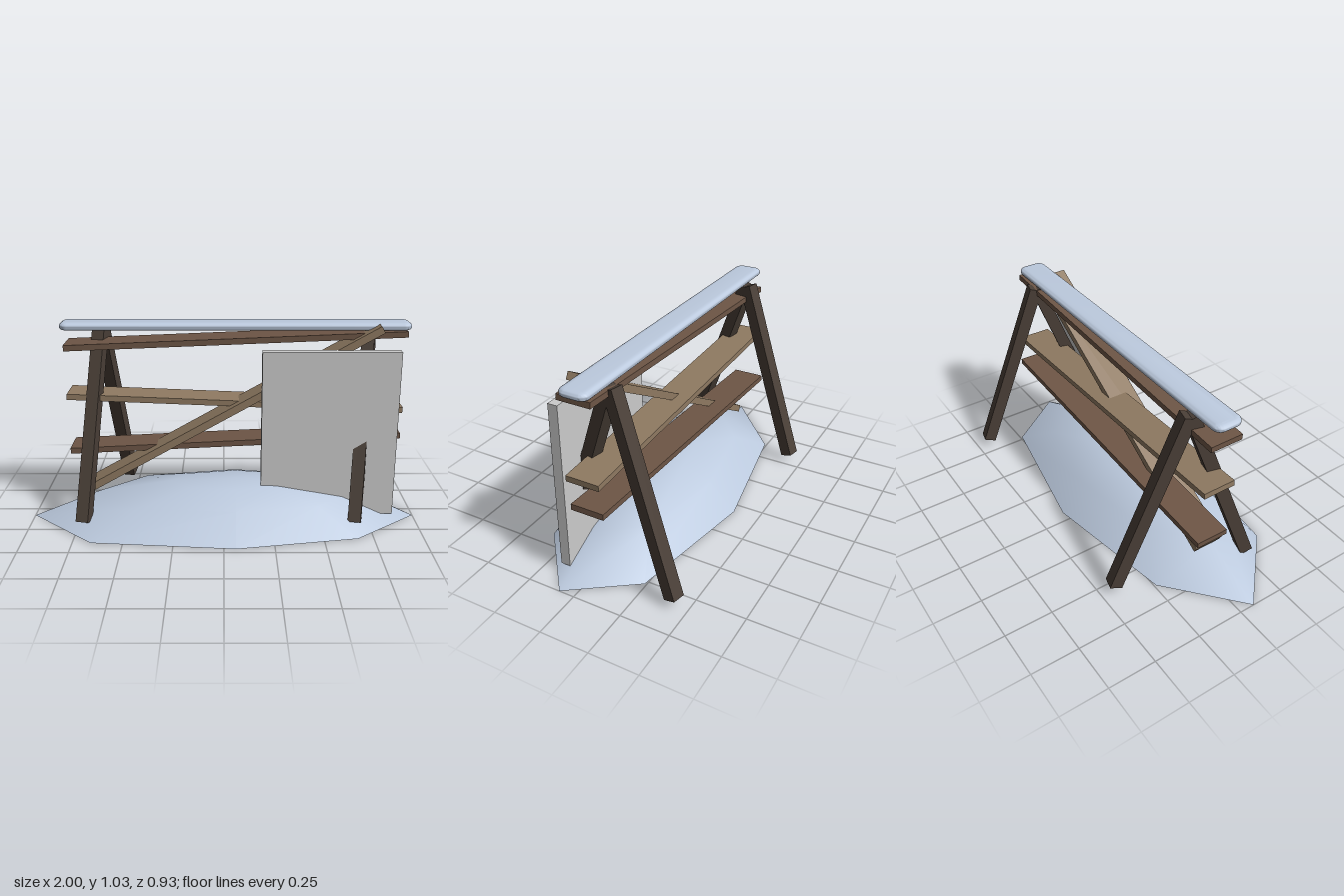
import * as THREE from 'three';
import { mergeVertices, toCreasedNormals } from 'three/addons/utils/BufferGeometryUtils.js';

const mat = (color, extra = {}) => new THREE.MeshStandardMaterial({ color, ...extra });

function add(parent, name, geometry, material, position = [0, 0, 0], rotation = [0, 0, 0]) {
  const mesh = new THREE.Mesh(geometry, material);
  mesh.name = name;
  mesh.position.set(...position);
  mesh.rotation.set(...rotation);
  parent.add(mesh);
  return mesh;
}

// Open mound: rings shrink from an uneven eight-sided rim to the apex
function driftGeometry() {
  const rim = [[-1, 0.08], [-0.66, 0.4], [0.06, 0.465], [0.67, 0.355],
    [1, 0.08], [0.77, -0.24], [0.06, -0.365], [-0.64, -0.24]];
  const rings = [[1, 0], [0.68, 0.14], [0.32, 0.2]]; // scale, height
  const cx = 0.06, cz = 0.08, n = rim.length;
  const points = [], index = [];
  for (const [s, y] of rings)
    for (const [x, z] of rim) points.push(cx + (x - cx) * s, y, cz + (z - cz) * s);
  points.push(cx, 0.215, cz);
  const apex = n * rings.length;
  for (let r = 0; r < rings.length; r++) {
    for (let i = 0; i < n; i++) {
      const a = r * n + i, b = r * n + (i + 1) % n;
      if (r === rings.length - 1) index.push(apex, a, b);
      else index.push(a, b, b + n, a, b + n, a + n);
    }
  }
  const g = new THREE.BufferGeometry();
  g.setAttribute('position', new THREE.Float32BufferAttribute(points, 3));
  g.setIndex(index);
  g.computeVertexNormals();
  return g;
}

// Long pillow of snow: a rounded strip with a soft bevel
function snowCapGeometry() {
  const hx = 0.85, hz = 0.043, r = 0.012;
  const s = new THREE.Shape();
  s.absarc(hx - r, hz - r, r, 0, Math.PI / 2);
  s.absarc(-hx + r, hz - r, r, Math.PI / 2, Math.PI);
  s.absarc(-hx + r, -hz + r, r, Math.PI, Math.PI * 1.5);
  s.absarc(hx - r, -hz + r, r, Math.PI * 1.5, Math.PI * 2);
  let g = new THREE.ExtrudeGeometry(s, {
    depth: 0.006, bevelSize: 0.031, bevelThickness: 0.017, bevelSegments: 5, curveSegments: 5,
  });
  g.rotateX(-Math.PI / 2);
  g.deleteAttribute('normal');
  g.deleteAttribute('uv');
  g = mergeVertices(g, 1e-4);
  return toCreasedNormals(g, 0.9);
}

export function createModel() {
  const model = new THREE.Group();
  model.name = 'snowyBarrier';

  const darkWood = mat(0x4a3f37);
  const brownWood = mat(0x6e5646);
  const paleWood = mat(0x8f7a62);
  const snow = mat(0xbccade);
  const snowOpen = mat(0xbccade, { side: THREE.DoubleSide });

  add(model, 'snowDrift', driftGeometry(), snowOpen);

  // Two yawed A-frames, each with a front and a back leg
  const leg = new THREE.BoxGeometry(0.065, 1, 0.065);
  for (const [name, x] of [['rightTrestle', -0.63], ['leftTrestle', 0.746]]) {
    const trestle = new THREE.Group();
    trestle.name = name;
    trestle.position.set(x, 0.515, -0.086);
    trestle.rotation.y = -0.235;
    for (const s of [1, -1])
      add(trestle, s > 0 ? 'frontLeg' : 'backLeg', leg, darkWood, [0, 0, s * 0.178], [-s * 0.355, 0, 0]);
    model.add(trestle);
  }

  // Flat rails, each slightly askew: name, material, y, z, tilt
  const rail = new THREE.BoxGeometry(1.715, 0.03, 0.17);
  const rails = [
    ['topRail', brownWood, 0.941, -0.01, 0.041],
    ['middleRail', paleWood, 0.614, -0.027, -0.041],
    ['bottomRail', brownWood, 0.392, -0.043, 0.049],
  ];
  for (const [name, material, y, z, tilt] of rails)
    add(model, name, rail, material, [0.057, y, z], [0, 0, tilt]);

  add(model, 'diagonalBrace', new THREE.BoxGeometry(1.69, 0.038, 0.153), paleWood,
    [0.048, 0.59, 0.034], [0, 0, 0.517]);

  add(model, 'signPanel', new THREE.BoxGeometry(0.685, 0.86, 0.05), mat(0xcccccc), [0.532, 0.475, 0.129]);

  add(model, 'snowCap', snowCapGeometry(), snow, [0.058, 1.005, -0.013]);

  return model;
}
